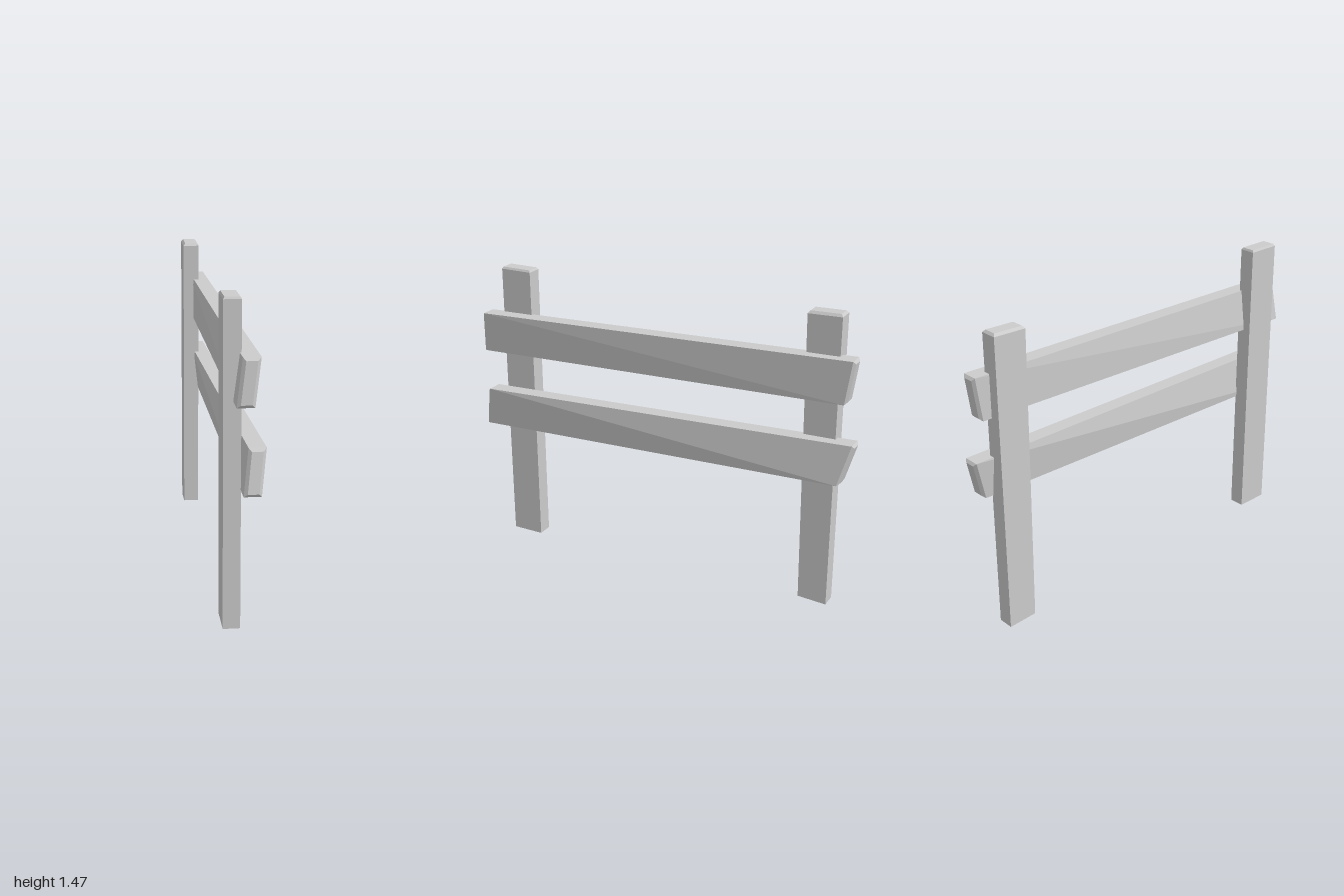
import * as THREE from 'three';

const material = new THREE.MeshStandardMaterial({ color: 0xcccccc, flatShading: true });

// Shrinks a four-cornered section by a margin and pushes it along a direction
function capSection(quad, margin, push) {
  const [a, b, c, d] = quad;
  const u = margin / a.distanceTo(b), v = margin / a.distanceTo(d);
  const at = (s, t) => a.clone().lerp(b, s).lerp(d.clone().lerp(c, s), t).add(push);
  return [at(u, v), at(1 - u, v), at(1 - u, 1 - v), at(u, 1 - v)];
}

// Sawn timber between two end sections, with optional bevelled caps
function timber(name, start, end, startBevel, endBevel, margin) {
  const axis = end[0].clone().add(end[2]).sub(start[0]).sub(start[2]).normalize();
  const rings = [start, end];
  if (startBevel) rings.unshift(capSection(start, margin, axis.clone().multiplyScalar(-startBevel)));
  if (endBevel) rings.push(capSection(end, margin, axis.clone().multiplyScalar(endBevel)));

  const points = [];
  const face = (a, b, c, d) => points.push(a, b, c, a, c, d);
  for (let r = 0; r < rings.length - 1; r++) {
    for (let i = 0; i < 4; i++) {
      const j = (i + 1) % 4;
      face(rings[r][i], rings[r][j], rings[r + 1][j], rings[r + 1][i]);
    }
  }
  face(...[...rings[0]].reverse());
  face(...rings[rings.length - 1]);

  const geometry = new THREE.BufferGeometry().setFromPoints(points);
  geometry.computeVertexNormals();
  const mesh = new THREE.Mesh(geometry, material);
  mesh.name = name;
  return mesh;
}

// Horizontal section of a post
const postSection = (x0, x1, z0, z1, yFront, yBack = yFront) => [
  new THREE.Vector3(x0, yFront, z1), new THREE.Vector3(x1, yFront, z1),
  new THREE.Vector3(x1, yBack, z0), new THREE.Vector3(x0, yBack, z0),
];

// Upright section of a rail: x of the left edge, y and z at bottom and at top
const railSection = (xBottom, yBottom, zBottom, xTop, yTop, zTop, width = 0.077) => [
  new THREE.Vector3(xBottom, yBottom, zBottom), new THREE.Vector3(xBottom + width, yBottom, zBottom),
  new THREE.Vector3(xTop + width, yTop, zTop), new THREE.Vector3(xTop, yTop, zTop),
];

export function createModel() {
  const group = new THREE.Group();
  group.name = 'fence';

  // Posts, bevelled at the top only; the back one leans and tapers a little
  group.add(timber('frontPost',
    postSection(-0.075, 0.002, 0.73, 0.895, 0),
    postSection(-0.075, 0.002, 0.73, 0.895, 1.452), 0, 0.01, 0.006));
  group.add(timber('backPost',
    postSection(-0.108, -0.03, -0.895, -0.75, 0.01, 0.002),
    postSection(-0.103, -0.022, -0.895, -0.73, 1.455, 1.46), 0, 0.012, 0.01));

  // Rails, slightly twisted and rising to the back, with slanted bevelled ends
  group.add(timber('upperRail',
    railSection(-0.055, 1.07, -0.94, -0.055, 1.28, -0.97),
    railSection(-0.03, 1.02, 0.99, -0.003, 1.228, 0.97), 0.012, 0.012, 0.014));
  group.add(timber('lowerRail',
    railSection(-0.032, 0.68, -0.935, -0.055, 0.88, -0.99),
    railSection(0.003, 0.632, 0.975, 0.027, 0.835, 0.937), 0.013, 0.013, 0.014));

  return group;
}
